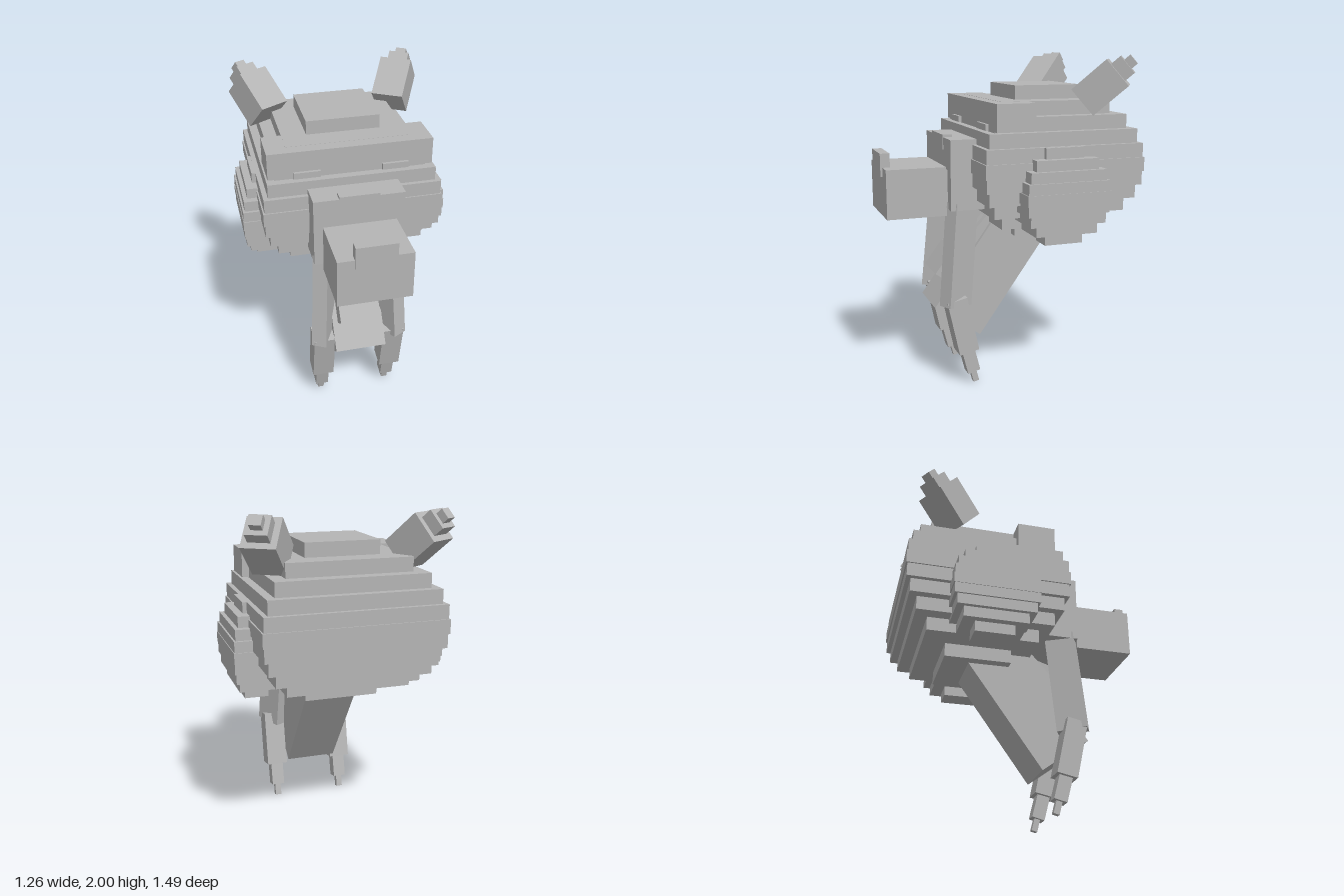
import * as THREE from 'three';

const grey = new THREE.MeshStandardMaterial({ color: 0xb4b4b4 });
grey.name = 'plain grey';

const UP = new THREE.Vector3(0, 1, 0);

// Box given by its min and max corners
function block(parent, name, min, max) {
  const size = max.map((v, i) => v - min[i]);
  const mesh = new THREE.Mesh(new THREE.BoxGeometry(...size), grey);
  mesh.position.set(...max.map((v, i) => (v + min[i]) / 2));
  mesh.name = name;
  parent.add(mesh);
}

// Box running between two points, twisted about its own length
function bar(parent, name, width, depth, from, to, twist = 0) {
  const a = new THREE.Vector3(...from);
  const b = new THREE.Vector3(...to);
  const dir = b.clone().sub(a);
  const mesh = new THREE.Mesh(new THREE.BoxGeometry(width, dir.length(), depth), grey);
  mesh.position.copy(a).add(b).multiplyScalar(0.5);
  mesh.quaternion.setFromUnitVectors(UP, dir.normalize());
  mesh.quaternion.multiply(new THREE.Quaternion().setFromAxisAngle(UP, twist));
  mesh.name = name;
  parent.add(mesh);
}

// Rounded form made of stacked slabs; halves lists the z half-depths
function stack(name, x, y, z, step, xRatio, halves) {
  const group = new THREE.Group();
  group.name = name;
  halves.forEach((h, i) => {
    block(group, `${name}Layer${i + 1}`,
      [x - h * xRatio, y + i * step, z - h], [x + h * xRatio, y + (i + 1) * step, z + h]);
  });
  return group;
}

export function createModel() {
  const model = new THREE.Group();
  model.name = 'blockyHead';

  // Skull
  model.add(stack('skull', 0, 0.912, -0.25, 0.0826, 1.075,
    [0.203, 0.338, 0.413, 0.46, 0.486, 0.494, 0.486, 0.46, 0.413, 0.34, 0.205]));

  // Brow, face and snout
  block(model, 'brow', [-0.485, 1.578, -0.07], [0.485, 1.737, 0.163]);
  block(model, 'facePlate', [-0.267, 1.105, 0.15], [0.267, 1.522, 0.368]);
  block(model, 'noseBridge', [-0.118, 1.45, 0.313], [0.118, 1.537, 0.372]);
  block(model, 'snout', [-0.216, 1.07, 0.38], [0.216, 1.36, 0.735]);
  block(model, 'snoutLink', [-0.2, 1.12, 0.36], [0.2, 1.34, 0.39]);
  block(model, 'nose', [-0.118, 1.308, 0.69], [0.118, 1.442, 0.747]);

  // Hanging lower jaw and tongue
  bar(model, 'lowerJaw', 0.315, 0.354, [0, 0.38, 0.302], [0, 1.144, -0.245]);
  bar(model, 'tongueRoot', 0.265, 0.14, [0, 0.78, 0.24], [0, 1.06, -0.015]);
  bar(model, 'tongueRidge', 0.185, 0.06, [0, 0.865, 0.245], [0, 1.02, 0.104]);
  bar(model, 'tongueTip', 0.25, 0.13, [0, 0.651, 0.379], [0, 0.80, 0.267]);

  for (const s of [-1, 1]) {
    const side = s > 0 ? 'left' : 'right';

    block(model, `${side}Eyelid`,
      [s * 0.26 - 0.078, 1.576, 0.1], [s * 0.26 + 0.078, 1.613, 0.181]);

    // Cheek
    model.add(stack(`${side}Cheek`, s * 0.478, 0.927, -0.225, 0.0625, 0.59,
      [0.117, 0.19, 0.232, 0.25, 0.256, 0.25, 0.232, 0.19, 0.117]));

    // Ear with two smaller tips along one slanted axis
    const ear = new THREE.Group();
    ear.name = `${side}Ear`;
    const along = (t) => [s * (0.385 + 0.395 * t), 1.73 + 0.659 * t, -0.411 - 0.643 * t];
    [[0.196, 0, 0.258], [0.125, 0.25, 0.326], [0.066, 0.32, 0.37]].forEach(([w, t0, t1], i) =>
      bar(ear, `${side}EarPart${i + 1}`, w, w, along(t0), along(t1), -s * 0.556));
    model.add(ear);

    // Long fang: slanted upper shaft, then three narrowing lower parts
    const fang = new THREE.Group();
    fang.name = `${side}Fang`;
    bar(fang, `${side}FangShaft`, 0.092, 0.18,
      [s * 0.217, 0.51, 0.333], [s * 0.188, 1.14, 0.277], s * 0.5);
    const x = s * 0.22;
    bar(fang, `${side}FangLower`, 0.132, 0.125, [x, 0.56, 0.341], [x, 0.22, 0.267]);
    bar(fang, `${side}FangPoint`, 0.08, 0.08, [x, 0.23, 0.269], [x, 0.078, 0.23]);
    bar(fang, `${side}FangTip`, 0.038, 0.036, [x, 0.09, 0.232], [x, 0.004, 0.21]);
    model.add(fang);
  }

  return model;
}
